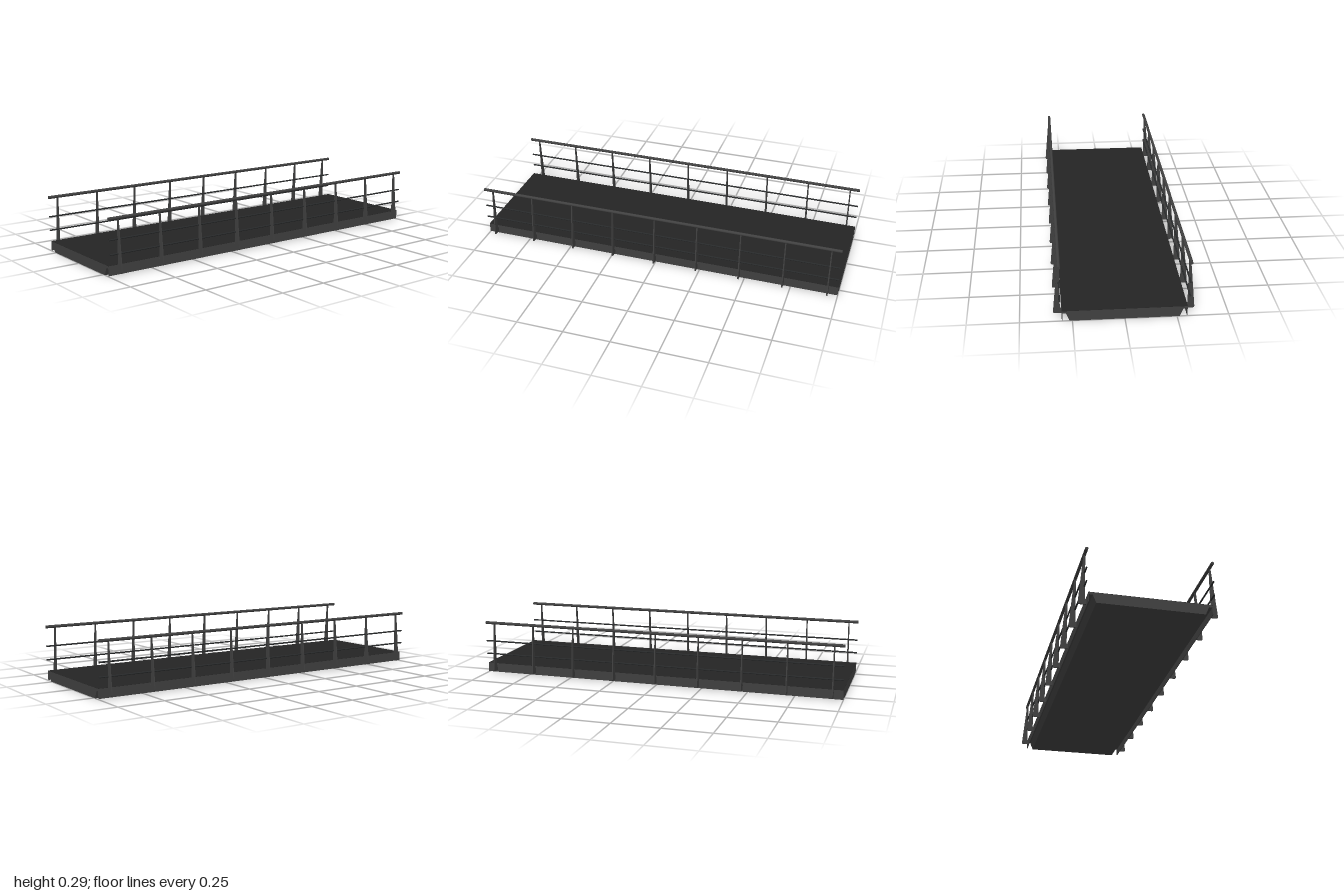
import * as THREE from 'three';

const steel = new THREE.MeshStandardMaterial({ color: 0x404040 });
steel.name = 'grey steel';
const dark = new THREE.MeshStandardMaterial({ color: 0x242424 });
dark.name = 'dark walkway surface';
const railDark = new THREE.MeshStandardMaterial({ color: 0x282a2b, side: THREE.DoubleSide });
railDark.name = 'dark rail steel';

const LENGTH = 2, POSTS = 9, SPACING = 0.237, RAIL_Z = 0.31;

function add(group, name, geometry, material, x = 0, y = 0, z = 0) {
  const mesh = new THREE.Mesh(geometry, material);
  mesh.name = name;
  mesh.position.set(x, y, z);
  group.add(mesh);
  return mesh;
}

// Extrudes a (z, y) outline along x, centred on x = 0
function extrudeX(shape, width) {
  const g = new THREE.ExtrudeGeometry(shape, { depth: width, bevelEnabled: false, curveSegments: 5 });
  g.translate(0, 0, -width / 2);
  g.rotateY(-Math.PI / 2); // shape x -> z, extrusion -> -x
  return g;
}

function outline(points) {
  return new THREE.Shape(points.map(([z, y]) => new THREE.Vector2(z, y)));
}

function tubeX(radius, sides, open) {
  return new THREE.CylinderGeometry(radius, radius, LENGTH, sides, 1, open).rotateZ(Math.PI / 2);
}

// Tapered post plate with a foot that bolts to the fascia
function postShape() {
  const s = new THREE.Shape();
  s.moveTo(0.3, 0.014);
  s.lineTo(0.332, 0.014);
  s.quadraticCurveTo(0.341, 0.014, 0.34, 0.025);
  s.lineTo(0.315, 0.287);
  s.lineTo(0.307, 0.287);
  s.lineTo(0.307, 0.042);
  s.lineTo(0.3, 0.042);
  s.closePath();
  return s;
}

// One side: fascia, posts and rails, built on +z
function buildRailing() {
  const side = new THREE.Group();
  add(side, 'fascia', new THREE.BoxGeometry(LENGTH, 0.045, 0.003), steel, 0, 0.0255, 0.2985);

  const post = extrudeX(postShape(), 0.006);
  for (let i = 0; i < POSTS; i++) {
    add(side, 'post', post, steel, (i - (POSTS - 1) / 2) * SPACING);
  }

  add(side, 'handrail', tubeX(0.008, 20, false), steel, 0, 0.287, RAIL_Z);
  for (const y of [0.11, 0.183]) {
    add(side, 'midRail', tubeX(0.0042, 12, true), railDark, 0, y, RAIL_Z);
  }
  return side;
}

export function createModel() {
  const model = new THREE.Group();
  model.name = 'footbridge';

  // Deck with overhanging edges and a tapered underside
  const half = [[0.263, 0], [0.28, 0.041], [0.3, 0.041], [0.3, 0.053]];
  const mirrored = half.map(([z, y]) => [-z, y]).reverse();
  add(model, 'deck', extrudeX(outline([...half, ...mirrored]), LENGTH), steel);
  add(model, 'walkwaySurface', new THREE.BoxGeometry(LENGTH, 0.001, 0.6), dark, 0, 0.0535, 0);

  // The second railing is the first one turned half round
  for (const [name, turn] of [['frontRailing', 0], ['backRailing', Math.PI]]) {
    const railing = buildRailing();
    railing.name = name;
    railing.rotation.y = turn;
    model.add(railing);
  }
  return model;
}
